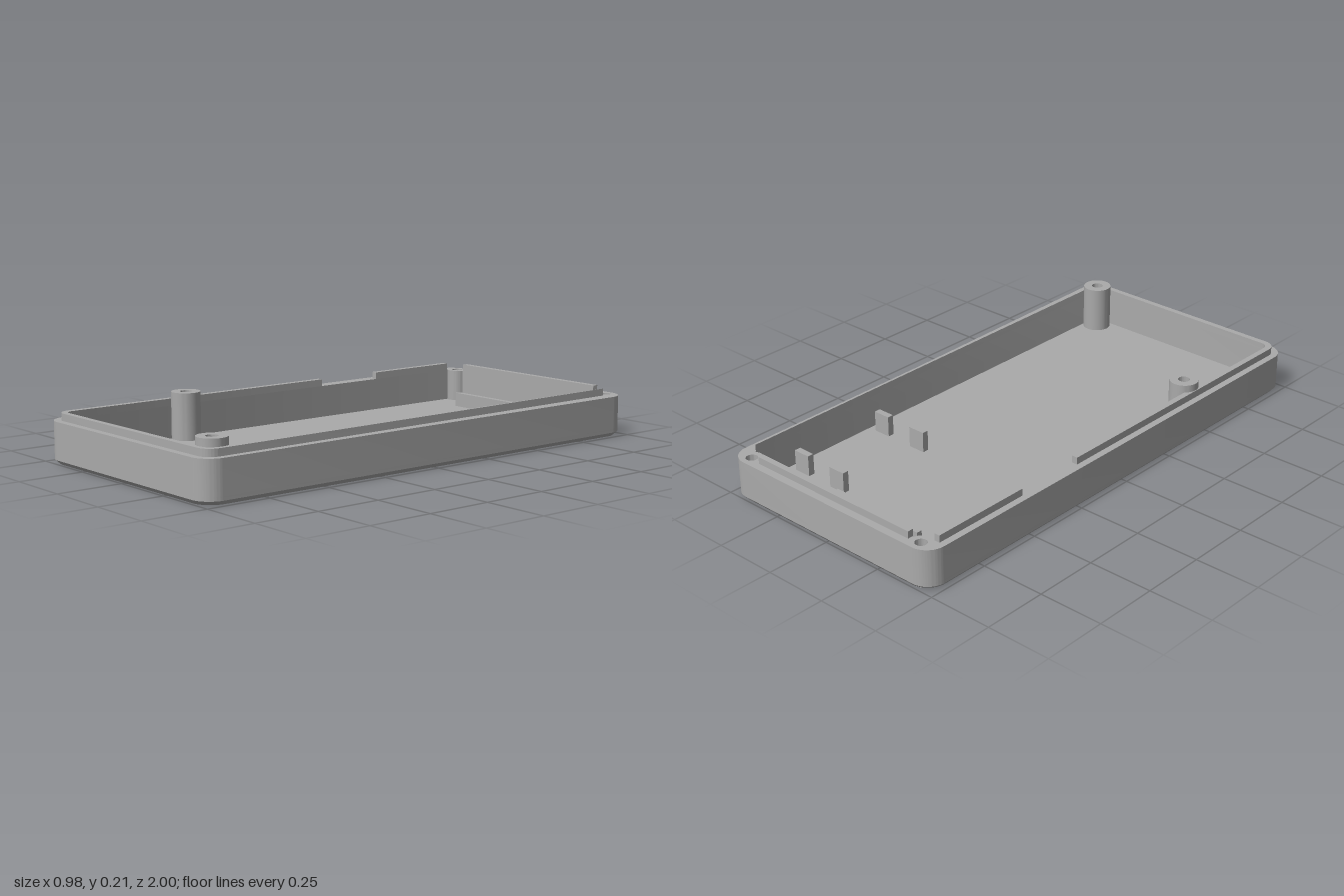
import * as THREE from 'three';
import { toCreasedNormals } from 'three/addons/utils/BufferGeometryUtils.js';

const HALF_W = 0.489, HALF_L = 1, CORNER = 0.075;
const IN_W = 0.44, IN_L = 0.95;
const FLOOR = 0.03, CHAMFER = 0.015, SHOULDER = 0.155, LIP = 0.182, POST_TOP = 0.21;
const BORE = 0.022, BOSS_X = 0.417, BOSS_Z = -0.958, BOSS_R = 0.042;
const cornerHoles = [[-BOSS_X, BOSS_Z], [BOSS_X, BOSS_Z]];
const postHoles = [[-0.405, 0.45], [0.39, 0.9]];

export function createModel() {
  const group = new THREE.Group();
  const grey = new THREE.MeshStandardMaterial({ color: 0xaaaaaa });
  grey.name = 'grey plastic';

  const add = (name, geometry) => {
    const mesh = new THREE.Mesh(toCreasedNormals(geometry, 0.55), grey);
    mesh.name = name;
    group.add(mesh);
    return mesh;
  };

  // Plan shapes use (x, z); the slab fills the height from y0 to y1
  const slab = (shape, y0, y1) => new THREE.ExtrudeGeometry(shape, { depth: y1 - y0, bevelEnabled: false, curveSegments: 14 })
    .rotateX(Math.PI / 2).translate(0, y1, 0);

  const box = (name, x0, x1, y0, y1, z0, z1) =>
    add(name, new THREE.BoxGeometry(x1 - x0, y1 - y0, z1 - z0).translate((x0 + x1) / 2, (y0 + y1) / 2, (z0 + z1) / 2));

  const outline = (holes) => {
    const s = new THREE.Shape();
    const w = HALF_W - CORNER, l = HALF_L - CORNER, q = Math.PI / 2;
    [[w, l], [-w, l], [-w, -l], [w, -l]].forEach(([x, z], i) => s.absarc(x, z, CORNER, i * q, (i + 1) * q, false));
    s.closePath();
    for (const [x, z] of holes) s.holes.push(new THREE.Path().absarc(x, z, BORE, 0, Math.PI * 2, true));
    return s;
  };

  // Base: bottom vertices pulled in for the chamfer, holes widened into countersinks
  const allHoles = [...cornerHoles, ...postHoles];
  const base = slab(outline(allHoles), 0, CHAMFER);
  const pos = base.attributes.position;
  for (let i = 0; i < pos.count; i++) {
    if (pos.getY(i) > CHAMFER / 2) continue;
    const x = pos.getX(i), z = pos.getZ(i);
    const k = allHoles.findIndex(([hx, hz]) => Math.hypot(x - hx, z - hz) < BORE + 0.004);
    if (k >= 0) {
      const [hx, hz] = allHoles[k];
      const grow = (k < 2 ? 0.028 : 0.033) / BORE;
      pos.setXYZ(i, hx + (x - hx) * grow, 0, hz + (z - hz) * grow);
    } else {
      pos.setXYZ(i, x - Math.sign(x) * 0.013, 0, z - Math.sign(z) * 0.013);
    }
  }
  add('chamferedBase', base);
  add('floor', slab(outline(allHoles), CHAMFER, FLOOR));

  // Walls, with the two back corner bosses growing out of the inner contour
  const wall = outline(cornerHoles);
  const inner = new THREE.Path();
  inner.moveTo(IN_W, -0.923);
  inner.absarc(BOSS_X, BOSS_Z, BOSS_R, 0.99, 2.95, false);
  inner.absarc(-BOSS_X, BOSS_Z, BOSS_R, Math.PI - 2.95, Math.PI - 0.99, false);
  inner.absarc(-IN_W + 0.03, IN_L - 0.03, 0.03, Math.PI, Math.PI / 2, true);
  inner.absarc(IN_W - 0.03, IN_L - 0.03, 0.03, Math.PI / 2, 0, true);
  inner.closePath();
  wall.holes.push(inner);
  add('wallsAndCornerBosses', slab(wall, FLOOR, SHOULDER));

  // Raised lip: right side, front and left side up to the notch
  const lipW = 0.463, lipL = 0.973;
  const lip = new THREE.Shape();
  lip.moveTo(lipW, -0.92);
  lip.absarc(lipW - 0.05, lipL - 0.05, 0.05, 0, Math.PI / 2, false);
  lip.absarc(-lipW + 0.05, lipL - 0.05, 0.05, Math.PI / 2, Math.PI, false);
  lip.lineTo(-lipW, -0.235);
  lip.lineTo(-IN_W, -0.235);
  lip.absarc(-IN_W + 0.03, IN_L - 0.03, 0.03, Math.PI, Math.PI / 2, true);
  lip.absarc(IN_W - 0.03, IN_L - 0.03, 0.03, Math.PI / 2, 0, true);
  lip.lineTo(IN_W, -0.92);
  lip.closePath();
  add('lip', slab(lip, SHOULDER, LIP));
  box('leftBackLip', -lipW, -IN_W, SHOULDER, LIP, -0.92, -0.52);
  box('backLip', -0.37, 0.365, SHOULDER, LIP, -0.97, -0.947);

  // Tall screw posts
  const profile = [[0.055, FLOOR], [0.055, POST_TOP], [BORE, POST_TOP], [BORE, FLOOR]].map(([r, y]) => new THREE.Vector2(r, y));
  for (const [x, z] of postHoles) add('screwPost', new THREE.LatheGeometry(profile, 40).translate(x, 0, z));

  // Support rib and four small tabs standing on the floor
  box('supportRib', -0.285, 0.125, FLOOR, 0.085, -0.847, -0.825);
  for (const z of [-0.757, -0.36])
    for (const x of [0.192, 0.373]) box('supportTab', x - 0.035, x + 0.035, FLOOR, 0.11, z - 0.0125, z + 0.0125);

  return group;
}
